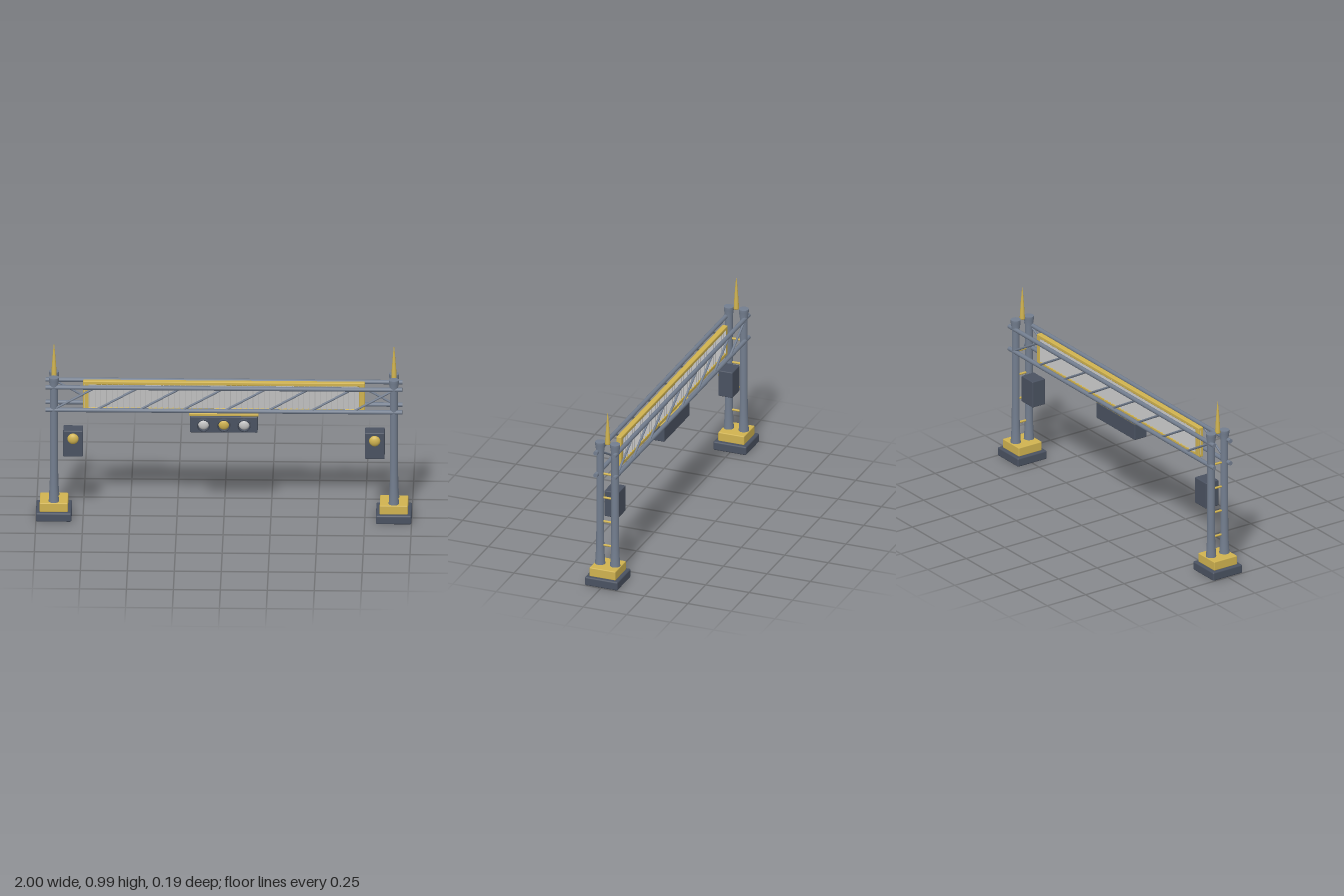
import * as THREE from 'three';
import { RoundedBoxGeometry } from 'three/addons/geometries/RoundedBoxGeometry.js';

const mat = (name, color) => {
  const m = new THREE.MeshStandardMaterial({ color });
  m.name = name;
  return m;
};

export function createModel() {
  const root = new THREE.Group();
  root.name = 'signalGantry';
  const steel = mat('steel', 0x737e8f);
  const dark = mat('darkSteel', 0x4a5261);
  const yellow = mat('yellow', 0xd0b350);
  const pale = mat('paleGrey', 0xc6c6c6);

  const add = (name, geo, m, x = 0, y = 0, z = 0, parent = root) => {
    const mesh = new THREE.Mesh(geo, m);
    mesh.name = name;
    mesh.position.set(x, y, z);
    parent.add(mesh);
    return mesh;
  };
  const rbox = (w, h, d, r = 0.005) => new RoundedBoxGeometry(w, h, d, 2, r);
  const lathe = (pts, n = 24) => new THREE.LatheGeometry(pts.map(p => new THREE.Vector2(...p)), n);
  // round bar between two points
  const bar = (name, a, b, r, m, parent = root) => {
    const va = new THREE.Vector3(...a), d = new THREE.Vector3(...b).sub(va);
    const mesh = add(name, new THREE.CylinderGeometry(r, r, d.length(), 12), m, 0, 0, 0, parent);
    mesh.position.copy(va).addScaledVector(d, 0.5);
    mesh.quaternion.setFromUnitVectors(new THREE.Vector3(0, 1, 0), d.normalize());
    return mesh;
  };

  // profiles: flared column and tapering finial
  const columnGeo = lathe([[0.028, 0.095], [0.025, 0.14], [0.022, 0.2], [0.021, 0.3], [0.021, 0.76],
    [0.027, 0.8], [0.027, 0.815], [0.027, 0.816], [0, 0.816]]);
  const finialGeo = lathe([[0, 0.808], [0.014, 0.808], [0.0142, 0.812], [0.0125, 0.85], [0.009, 0.9],
    [0.005, 0.95], [0.0015, 0.987], [0, 0.992]], 16);

  // end towers
  for (const s of [-1, 1]) {
    const tower = new THREE.Group();
    tower.name = s > 0 ? 'leftTower' : 'rightTower';
    root.add(tower);
    const x = 0.905 * s;
    add('footing', rbox(0.19, 0.05, 0.19, 0.008), dark, x, 0.025, 0, tower);
    add('plinth', rbox(0.15, 0.052, 0.15), yellow, x, 0.074, 0, tower);
    for (const z of [-0.043, 0.043]) add('column', columnGeo, steel, x, 0, z, tower);
    for (let i = 0; i < 4; i++) {
      const y = 0.21 + i * 0.14;
      bar('rung', [x, y, -0.035], [x, y, 0.035], 0.006, yellow, tower);
    }
    add('finial', finialGeo, yellow, x, 0, 0, tower);

    // side signal box with a domed lamp
    add('signalBox', rbox(0.105, 0.15, 0.082), dark, 0.803 * s, 0.43, 0, tower);
    const dome = add('signalLamp', new THREE.SphereGeometry(0.03, 20, 12), yellow, 0.803 * s, 0.46, 0.041, tower);
    dome.scale.z = 0.6;
  }

  // truss: chords and diagonals, leaning opposite ways front and back
  const bays = 8, half = 0.91, step = 2 * half / bays;
  for (const z of [-0.053, 0.053]) {
    for (const y of [0.632, 0.762]) bar('chord', [-0.95, y, z], [0.95, y, z], 0.012, steel);
    for (let i = 0; i < bays; i++) {
      const x = -half + i * step;
      const [y0, y1] = z > 0 ? [0.632, 0.762] : [0.762, 0.632];
      bar('diagonal', [x, y0, z], [x + step, y1, z], 0.006, steel);
    }
  }

  // framed louvre panel
  for (const y of [0.62, 0.771]) add('frameRail', rbox(1.5, 0.02, 0.03, 0.004), yellow, 0, y, 0);
  for (const x of [-0.735, 0.735]) add('frameStile', rbox(0.03, 0.17, 0.03, 0.004), yellow, x, 0.695, 0);
  const slatGeo = new THREE.BoxGeometry(0.032, 0.142, 0.021);
  for (let i = 0; i < 49; i++) {
    add('slat', slatGeo, pale, -0.732 + i * 0.03, 0.696, 0).rotation.y = 0.33;
  }

  // hanging three-lamp signal
  add('signalCap', rbox(0.37, 0.016, 0.07, 0.004), yellow, 0, 0.603, 0.005);
  add('signalHousing', rbox(0.36, 0.092, 0.08), dark, 0, 0.551, 0.01);
  const hoodGeo = lathe([[0.035, 0], [0.035, 0.018], [0.029, 0.018], [0.029, 0]]).rotateX(Math.PI / 2);
  hoodGeo.computeVertexNormals();
  [yellow, pale, pale].forEach((m, i) => {
    const x = [0, -0.108, 0.108][i];
    add('lampHood', hoodGeo, dark, x, 0.553, 0.05);
    add('lamp', new THREE.SphereGeometry(0.029, 20, 12), m, x, 0.553, 0.05).scale.z = 0.5;
  });
  return root;
}
